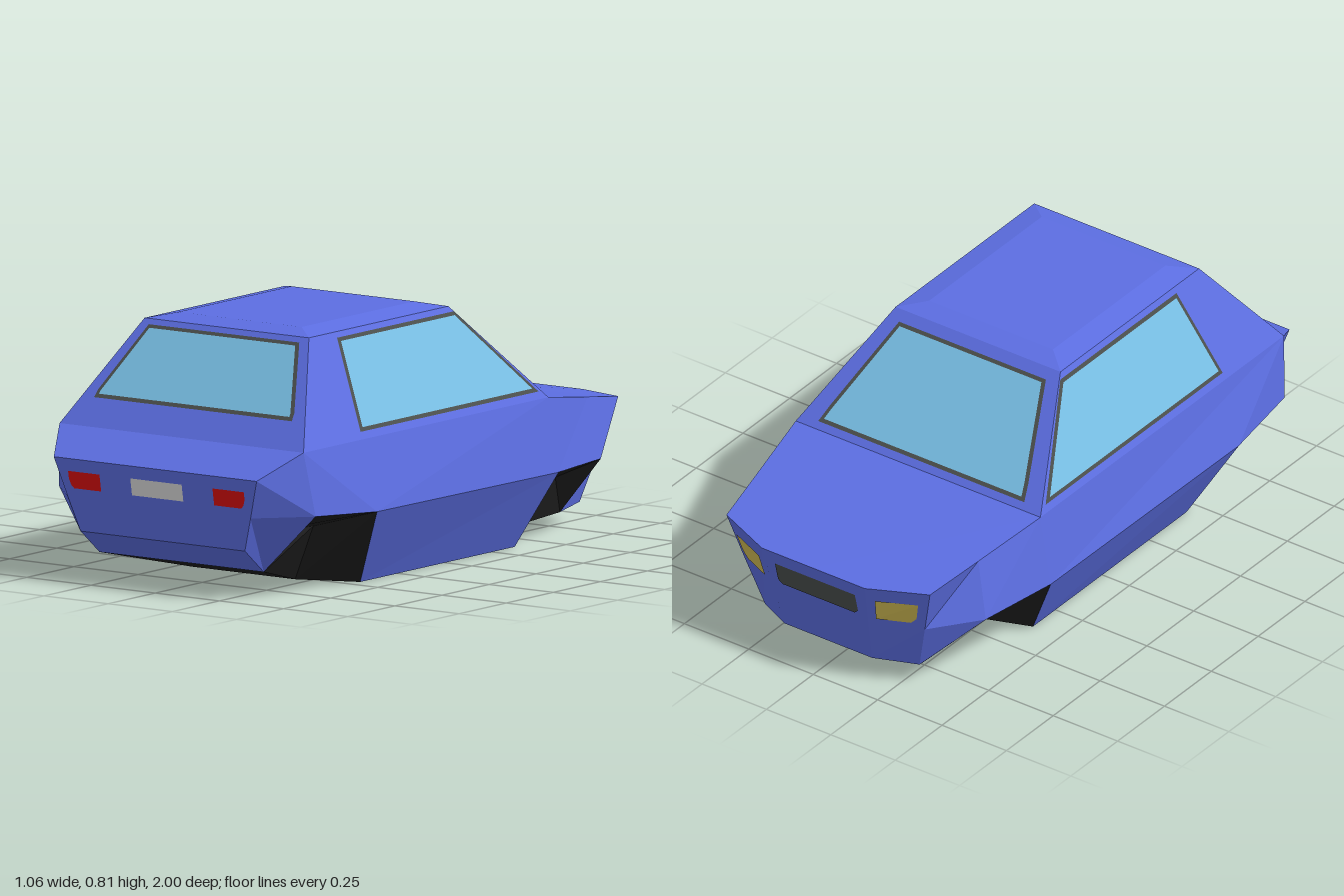
import * as THREE from 'three';

const mat = (name, color, side = THREE.FrontSide) =>
  Object.assign(new THREE.MeshStandardMaterial({ color, flatShading: true, side }), { name });

// Corner points of the left half (+x); the bonnet points towards -z
const P = {
  // roof
  roofFC: [0, 0.81, -0.05], roofF: [0.24, 0.81, -0.05], roofR: [0.24, 0.81, 0.55], roofRC: [0, 0.81, 0.55],
  railFC: [0, 0.793, -0.12], railF: [0.32, 0.793, -0.12], railR: [0.32, 0.793, 0.62], railRC: [0, 0.793, 0.62],
  // belt line
  cowlC: [0, 0.475, -0.44], cowl: [0.475, 0.475, -0.44], belt: [0.475, 0.475, 0.86], beltC: [0, 0.475, 0.86],
  // bonnet and nose
  wing: [0.43, 0.435, -0.71], hoodSide: [0.395, 0.405, -0.92], hoodTip: [0.2, 0.397, -1], hoodC: [0, 0.397, -1],
  noseMid: [0.349, 0.24, -0.884], noseSide: [0.3, 0.07, -0.845], noseTip: [0.17, 0.085, -0.92], noseC: [0, 0.085, -0.92],
  // tail
  tail: [0.395, 0.395, 1], tailC: [0, 0.395, 1], tailMid: [0.356, 0.27, 0.979],
  bumper: [0.32, 0.16, 0.96], bumperC: [0, 0.16, 0.96], lip: [0.32, 0.08, 0.86], lipC: [0, 0.08, 0.86],
  // wheel arch openings and sill
  archF1: [0.47, 0.24, -0.725], archF2: [0.515, 0.24, -0.44], archF0: [0.28, 0.045, -0.767],
  archR1: [0.53, 0.25, 0.545], archR2: [0.5, 0.27, 0.83],
  sillF: [0.395, 0, -0.37], sillR: [0.395, 0, 0.45],
  // inside the wheel arches and floor
  inF1: [0.3, 0.165, -0.715], inF2: [0.3, 0.165, -0.47], inR1: [0.3, 0.185, 0.57], inR2: [0.3, 0.2, 0.84],
  floorF: [0.2, 0, -0.44], floorFC: [0, 0, -0.44], floorR: [0.2, 0, 0.53], floorRC: [0, 0, 0.53],
};

const bodyFaces = [
  'roofFC roofF roofR roofRC', 'railFC railF roofF roofFC', 'railF railR roofR roofF', 'railR railRC roofRC roofR',
  'cowlC cowl railF railFC', 'cowl belt railR railF', 'belt beltC railRC railR',
  'cowlC cowl wing hoodSide hoodTip hoodC', 'hoodC hoodTip noseTip noseC',
  'hoodTip hoodSide noseMid noseSide noseTip', 'hoodSide wing archF1 noseMid', 'noseMid archF1 archF0 noseSide',
  'wing cowl archF2 archF1', 'cowl belt archR1 archF2', 'belt archR2 archR1', 'archF2 archR1 sillR sillF',
  'belt beltC tailC tail', 'tail tailMid archR2 belt', 'tailMid bumper lip archR2',
  'tailC bumperC bumper tailMid tail', 'bumperC bumper lip lipC',
];
const underFaces = [
  'floorFC floorF sillF sillR floorR floorRC', 'floorFC floorF archF0 noseSide noseTip noseC',
  'floorRC floorR lip lipC',
  'archF2 archF1 inF1 inF2', 'inF2 inF1 archF0 floorF', 'archF2 inF2 floorF sillF', 'archF1 inF1 archF0',
  'archR1 archR2 inR2 inR1', 'inR1 inR2 lip floorR', 'archR1 inR1 floorR sillR', 'archR2 inR2 lip',
];

const CORE = new THREE.Vector3(0, 0.3, 0);

// Flat polygons as triangle fans, turned to face away from the core and optionally lifted outwards
function shell(polygons, lift = 0) {
  const out = [];
  for (const poly of polygons) {
    let p = poly.map((a) => (a.isVector3 ? a.clone() : new THREE.Vector3(...a)));
    const n = new THREE.Vector3(), c = new THREE.Vector3();
    p.forEach((a, i) => {
      n.add(a.clone().cross(p[(i + 1) % p.length]));
      c.addScaledVector(a, 1 / p.length);
    });
    n.normalize();
    if (n.dot(c.sub(CORE)) < 0) {
      p.reverse();
      n.negate();
    }
    p.forEach((a) => a.addScaledVector(n, lift));
    for (let i = 1; i < p.length - 1; i++) out.push(...p[0].toArray(), ...p[i].toArray(), ...p[i + 1].toArray());
  }
  const g = new THREE.BufferGeometry();
  g.setAttribute('position', new THREE.Float32BufferAttribute(out, 3));
  g.computeVertexNormals();
  return g;
}

const mirror = (poly) => poly.map(([x, y, z]) => [-x, y, z]);
const bothSides = (polys) => [...polys, ...polys.map(mirror)];
const named = (faces) => faces.map((f) => f.split(' ').map((k) => P[k]));

// Shrinks a convex polygon by an even margin
function inset(poly, d) {
  const v = poly.map((a) => new THREE.Vector3(...a));
  return v.map((a, i) => {
    const u = v[(i + 1) % v.length].clone().sub(a).normalize();
    const w = v[(i + v.length - 1) % v.length].clone().sub(a).normalize();
    const s = u.clone().cross(w).length();
    return a.clone().addScaledVector(u.add(w), d / s);
  });
}

export function createModel() {
  const car = new THREE.Group();
  car.name = 'car';
  const paint = mat('blue paint', 0x5c6ee2);
  const black = mat('black underbody', 0x1e1e1e, THREE.DoubleSide);
  const trim = mat('dark grey trim', 0x4a4e4c);
  const glass = mat('light blue glass', 0x78c0e6);
  const red = mat('red lamp', 0xdc0e0e);
  const yellow = mat('yellow lamp', 0xd2bc54);
  const white = mat('pale plate', 0xdcdcdc);

  const add = (name, geometry, material) => {
    const m = new THREE.Mesh(geometry, material);
    m.name = name;
    car.add(m);
  };

  add('bodyShell', shell(bothSides(named(bodyFaces))), paint);
  add('underbody', shell(bothSides(named(underFaces))), black);

  // Windows: dark surround with a smaller pane above it
  const slope = (y) => (y - 0.475) / 0.318;
  const sideX = (y) => 0.475 - 0.155 * slope(y);
  const frontZ = (y) => -0.44 + 0.32 * slope(y);
  const rearZ = (y) => 0.86 - 0.24 * slope(y);
  const symmetric = (pts) => [...pts, ...mirror(pts).reverse()];
  const sideWindow = [[0.545, 0.497], [0.485, 0.775], [-0.135, 0.775], [-0.4, 0.497]]
    .map(([z, y]) => [sideX(y), y, z]);
  const windows = {
    windscreen: symmetric([[0.4, 0.493], [0.385, 0.535], [0.285, 0.765]].map(([x, y]) => [x, y, frontZ(y)])),
    rearWindow: symmetric([[0.385, 0.557], [0.382, 0.58], [0.293, 0.776]].map(([x, y]) => [x, y, rearZ(y)])),
    leftWindow: sideWindow,
    rightWindow: mirror(sideWindow),
  };
  for (const [name, poly] of Object.entries(windows)) {
    add(name + 'Trim', shell([poly], 0.002), trim);
    add(name + 'Glass', shell([inset(poly, 0.013)], 0.004), glass);
  }

  // Tail lamps and number plate on the sloping tail panel
  const onTail = ([x, y]) => [x, y, 1 - (0.395 - y) * (0.04 / 0.235)];
  const lamp = [[0.22, 0.3], [0.325, 0.3], [0.335, 0.31], [0.342, 0.33], [0.342, 0.355], [0.22, 0.355]].map(onTail);
  add('tailLamps', shell(bothSides([lamp]), 0.003), red);
  add('numberPlate', shell([[[-0.1, 0.3], [0.1, 0.3], [0.1, 0.355], [-0.1, 0.355]].map(onTail)], 0.003), white);

  // Head lamps on the angled nose corners, grille between them
  const onNose = ([x, y]) => [x, y, -1 + (0.397 - y) * (0.08 / 0.312)];
  const onCorner = ([u, y]) => {
    const t = (0.4 - y) / 0.32;
    const a = new THREE.Vector3(...P.hoodTip).lerp(new THREE.Vector3(...P.noseTip), t);
    const b = new THREE.Vector3(...P.hoodSide).lerp(new THREE.Vector3(...P.noseSide), t);
    return a.lerp(b, u).toArray();
  };
  const headLamp = [[0.15, 0.27], [0.75, 0.27], [0.84, 0.29], [0.84, 0.352], [0.15, 0.352]].map(onCorner);
  add('headLamps', shell(bothSides([headLamp]), 0.005), yellow);
  add('grille', shell([symmetric([[0.14, 0.27], [0.155, 0.285], [0.155, 0.352]].map(onNose))], 0.003), trim);

  return car;
}
